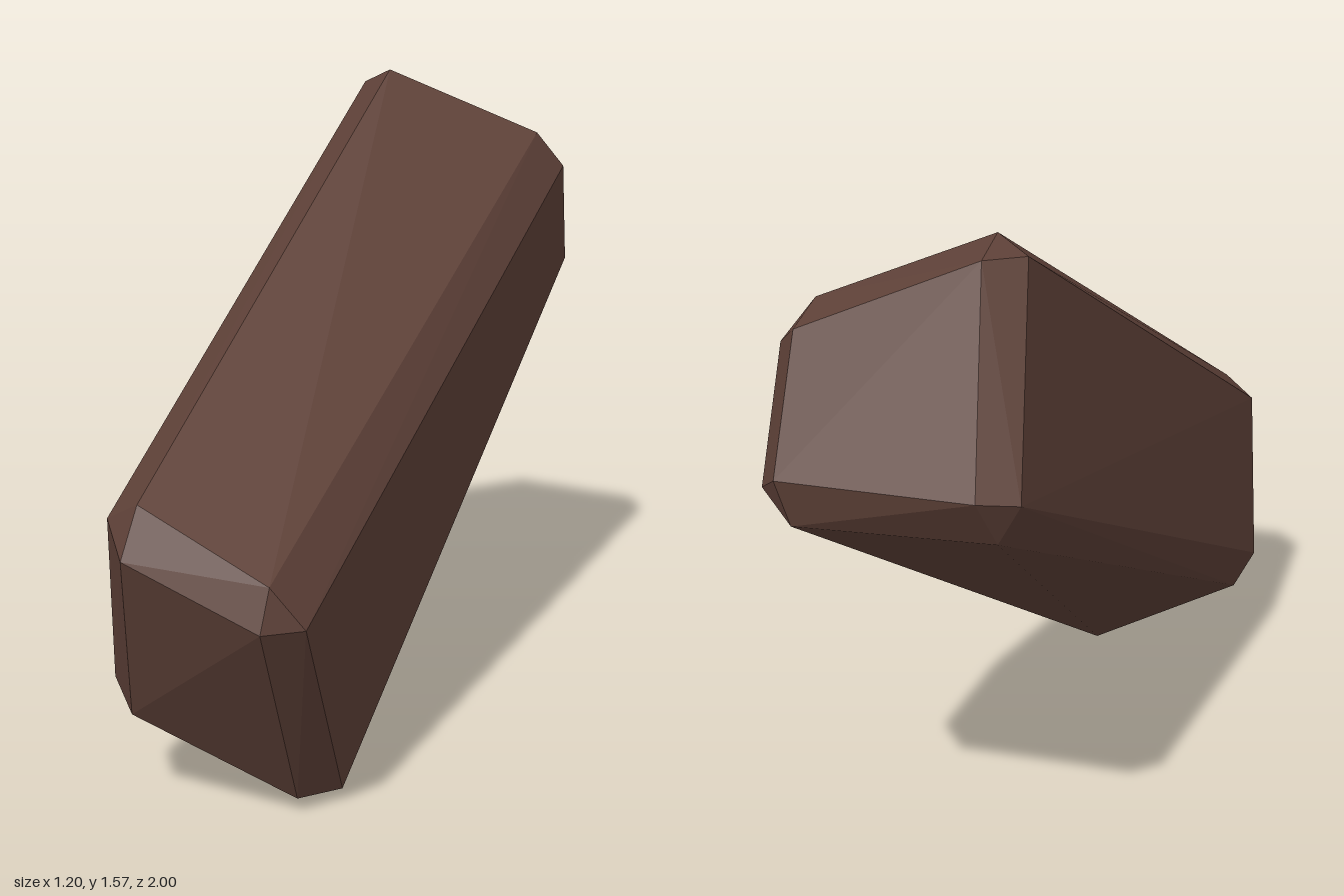
import * as THREE from 'three';
import { ConvexGeometry } from 'three/addons/geometries/ConvexGeometry.js';

// Each bevelled corner has three points: on the long top/bottom face, on the end face, on the side face
const corners = {
  frontTopLeft: [[0.23, 0.77, 0.945], [0.23, 0.655, 0.997], [0.133, 0.72, 0.945]],
  frontTopRight: [[0.545, 0.638, 0.87], [0.545, 0.54, 0.9], [0.597, 0.54, 0.815]],
  frontBottomRight: [[0.37, 0.003, 0.533], [0.41, 0.04, 0.645], [0.445, 0.035, 0.53]],
  frontBottomLeft: [[0.055, 0.187, 0.79], [0.105, 0.23, 0.865], [0.018, 0.29, 0.835]],
  backTopLeft: [[-0.33, 1.577, -0.548], [-0.38, 1.543, -0.645], [-0.418, 1.54, -0.545]],
  backTopRight: [[0.025, 1.41, -0.76], [-0.018, 1.367, -0.86], [0.067, 1.315, -0.83]],
  backBottomRight: [[-0.115, 0.97, -0.97], [-0.102, 1.08, -1.0], [-0.01, 1.03, -0.962]],
  backBottomLeft: [[-0.54, 0.99, -0.765], [-0.553, 1.105, -0.84], [-0.6, 1.09, -0.755]],
};

export function createModel() {
  const group = new THREE.Group();
  group.name = 'tiltedBlock';

  const brown = new THREE.MeshStandardMaterial({ color: 0x5d4037 });
  brown.name = 'dark brown';
  brown.flatShading = true;

  // Tilted, uneven block with bevelled edges
  const points = Object.values(corners).flat().map((p) => new THREE.Vector3(...p));
  const block = new THREE.Mesh(new ConvexGeometry(points), brown);
  block.name = 'bevelledBlock';
  group.add(block);

  return group;
}
